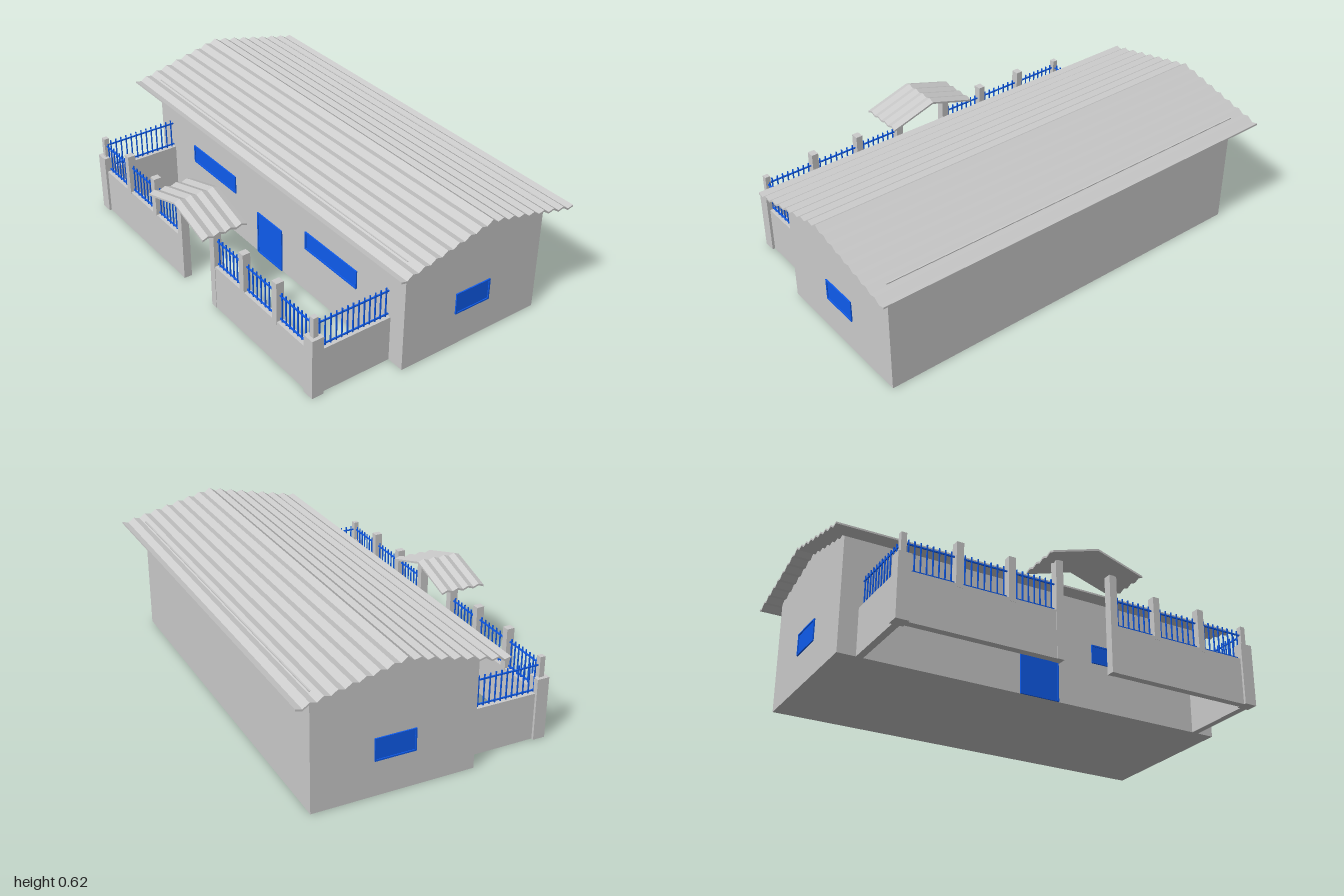
import * as THREE from 'three';

const grey = new THREE.MeshStandardMaterial({ color: 0xcccccc, flatShading: true });
const blue = new THREE.MeshStandardMaterial({ color: 0x0f5cee, flatShading: true });

export function createModel() {
  const root = new THREE.Group();
  root.name = 'house';

  const add = (name, geometry, material = grey) => {
    const mesh = new THREE.Mesh(geometry, material);
    mesh.name = name;
    root.add(mesh);
    return mesh;
  };
  // Box given by its limits on each axis
  const box = (name, x0, x1, y0, y1, z0, z1, material) => {
    const mesh = add(name, new THREE.BoxGeometry(Math.abs(x1 - x0), y1 - y0, Math.abs(z1 - z0)), material);
    mesh.position.set((x0 + x1) / 2, (y0 + y1) / 2, (z0 + z1) / 2);
    return mesh;
  };
  // Outline in (z, y), extruded along x and centred on x = 0
  const extrudeX = (points, width, steps = 1) => {
    const shape = new THREE.Shape(points.map(([z, y]) => new THREE.Vector2(z, y)));
    return new THREE.ExtrudeGeometry(shape, { depth: width, steps, bevelEnabled: false })
      .translate(0, 0, -width / 2)
      .rotateY(-Math.PI / 2);
  };
  // Gives a folded line a thickness
  const sheet = (top, t) => [...top, ...top.map(([z, y]) => [z, y - t]).reverse()];

  // Corrugated roof with its ridge at z = -0.19
  const ridge = -0.1915, strip = 0.02834;
  const foldY = (i) => 0.618 - 0.0065 * Math.abs(i) + (i % 2 === 0 ? 0.0067 : -0.0067);
  const fold = (a, b) => {
    const pts = [];
    for (let i = a; i <= b; i++) pts.push([ridge + i * strip, foldY(i)]);
    return pts;
  };
  add('roof', extrudeX(sheet(fold(-16, 16), 0.008), 2));

  // House body and the gables that follow the corrugation
  box('houseWalls', -0.925, 0.925, 0, 0.535, -0.555, 0.17);
  const gable = fold(-12, 12).map(([z, y]) => [z, y - 0.004]);
  add('gables', extrudeX([[-0.555, 0.53], ...gable, [0.17, 0.53]], 1.85));

  // Framed panel, built facing +z
  const panel = (name, w, h, x, y, z, turn = 0) => {
    const group = new THREE.Group();
    group.name = name;
    const shape = new THREE.Shape();
    const rect = (path, a, b) => path.moveTo(-a, -b).lineTo(a, -b).lineTo(a, b).lineTo(-a, b).closePath();
    rect(shape, w / 2, h / 2);
    const hole = new THREE.Path();
    rect(hole, w / 2 - 0.007, h / 2 - 0.007);
    shape.holes.push(hole);
    const frame = new THREE.Mesh(new THREE.ExtrudeGeometry(shape, { depth: 0.006, bevelEnabled: false }), blue);
    frame.name = name + 'Frame';
    const pane = new THREE.Mesh(new THREE.BoxGeometry(w - 0.004, h - 0.004, 0.004), blue);
    pane.name = name + 'Pane';
    group.add(frame, pane);
    group.position.set(x, y, z);
    group.rotation.y = turn;
    root.add(group);
  };
  panel('door', 0.19, 0.215, 0, 0.1075, 0.17);
  for (const s of [-1, 1]) {
    panel('frontWindow', 0.355, 0.088, s * 0.448, 0.267, 0.17);
    panel('sideWindow', 0.183, 0.102, s * 0.925, 0.211, -0.192, s * Math.PI / 2);
  }

  // Railing between two points on top of the yard wall
  const railing = (ax, az, bx, bz) => {
    const alongX = az === bz;
    const length = alongX ? Math.abs(bx - ax) : Math.abs(bz - az);
    const r = 0.003;
    for (const y of [0.225, 0.338]) {
      box('rail', Math.min(ax, bx) - (alongX ? 0 : r), Math.max(ax, bx) + (alongX ? 0 : r), y - r, y + r,
        Math.min(az, bz) - (alongX ? r : 0), Math.max(az, bz) + (alongX ? r : 0), blue);
    }
    const n = Math.round(length / 0.028);
    for (let i = 0; i < n; i++) {
      const t = (i + 0.5) / n, x = ax + (bx - ax) * t, z = az + (bz - az) * t;
      box('railBar', x - 0.0025, x + 0.0025, 0.213, 0.357, z - 0.0025, z + 0.0025, blue);
    }
  };

  // Yard wall, posts and railings, mirrored
  const zf = 0.535;
  for (const s of [-1, 1]) {
    box('frontYardWall', s * 0.117, s * 0.83, 0, 0.215, zf - 0.017, zf + 0.017);
    box('sideYardWall', s * 0.812, s * 0.843, 0, 0.215, 0.17, zf);
    box('cornerPost', s * 0.797, s * 0.855, 0, 0.285, zf - 0.028, zf + 0.028);
    box('cornerPostTop', s * 0.815, s * 0.839, 0.285, 0.378, zf - 0.012, zf + 0.012);
    box('gatePost', s * 0.115, s * 0.149, 0, 0.446, zf - 0.019, zf + 0.019);
    for (const x of [0.353, 0.588]) {
      box('wallPost', s * (x - 0.016), s * (x + 0.016), 0.2, 0.4, zf - 0.018, zf + 0.018);
    }
    railing(s * 0.149, zf, s * 0.337, zf);
    railing(s * 0.369, zf, s * 0.572, zf);
    railing(s * 0.604, zf, s * 0.815, zf);
    railing(s * 0.827, 0.17, s * 0.827, zf - 0.012);
  }

  // Corrugated canopy over the gate, bent down on both sides of x = 0
  const folds = [];
  for (let i = 0; i <= 8; i++) folds.push([0.43 + i * 0.0269, i % 2 === 0 ? 0.492 : 0.502]);
  const canopy = extrudeX(sheet(folds, 0.009), 0.434, 2);
  const p = canopy.attributes.position;
  for (let i = 0; i < p.count; i++) p.setY(i, p.getY(i) - 0.31 * Math.abs(p.getX(i)));
  canopy.computeVertexNormals();
  add('gateCanopy', canopy);

  return root;
}
